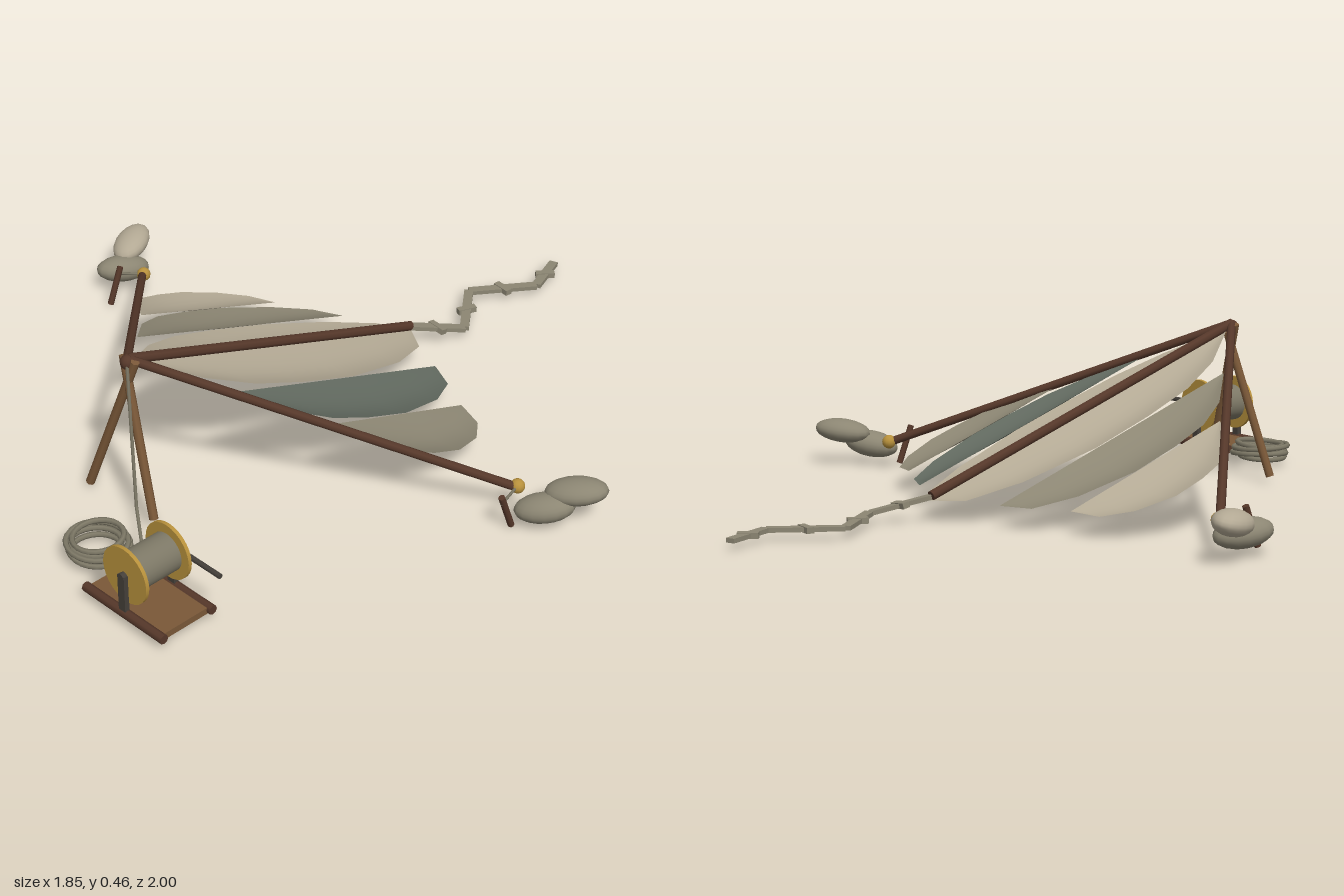
import * as THREE from 'three';

const mat = (name, color, side = THREE.FrontSide) => {
  const m = new THREE.MeshStandardMaterial({ color, side });
  m.name = name;
  return m;
};
const V = (x, y, z) => new THREE.Vector3(x, y, z);

export function createModel() {
  const root = new THREE.Group();
  root.name = 'kiteGlider';
  const beige = mat('beigeCloth', 0xb3a994, THREE.DoubleSide);
  const taupe = mat('taupeCloth', 0x8c8673, THREE.DoubleSide);
  const slate = mat('slateCloth', 0x626a60, THREE.DoubleSide);
  const dark = mat('darkWood', 0x56382a);
  const wood = mat('wood', 0x7a5838);
  const gold = mat('brass', 0xb8913c);
  const rope = mat('rope', 0x7d7866);
  const iron = mat('iron', 0x45403a);

  const add = (name, geo, material, pos, parent = root) => {
    const m = new THREE.Mesh(geo, material);
    m.name = name;
    if (pos) m.position.copy(pos);
    parent.add(m);
    return m;
  };
  // round bar between two points
  const bar = (name, a, b, r, material, sides = 8) => {
    const d = b.clone().sub(a);
    const m = add(name, new THREE.CylinderGeometry(r, r, d.length(), sides), material, a.clone().lerp(b, 0.5));
    m.quaternion.setFromUnitVectors(V(0, 1, 0), d.normalize());
    return m;
  };

  // frame
  const cx = -0.01;
  const apex = V(cx, 0.445, 0.64);
  bar('spine', apex, V(cx, 0.07, -0.4), 0.014, dark);
  for (const s of [-1, 1]) bar('wingSpar', apex, V(cx + s * 0.72, 0.08, -0.03), 0.012, dark);
  bar('rightLeg', V(0.015, 0.445, 0.635), V(-0.135, 0.018, 0.68), 0.012, wood);
  bar('leftLeg', V(-0.03, 0.445, 0.635), V(0.115, 0.03, 0.68), 0.012, wood);
  add('apexLashing', new THREE.SphereGeometry(0.02, 10, 8), dark, V(cx, 0.435, 0.64));

  // sail half: straight inner edge, leaf-shaped outer edge, slightly sagging cloth
  const profile = [[0, 0.02], [0.05, 0.47], [0.19, 0.8], [0.4, 1], [0.58, 0.98], [0.73, 0.88], [0.86, 0.6], [1, 0.02]];
  const sail = (name, side, inner, width, zBack, zFront, material) => {
    const pos = [], idx = [], n = 6;
    profile.forEach(([t, w], i) => {
      for (let j = 0; j <= n; j++) {
        const s = j / n, x = inner + width * w * s;
        const z = zBack + (zFront - zBack) * t;
        const sag = 0.025 * Math.sin(Math.PI * t) * Math.sin(Math.PI * s);
        pos.push(cx + side * x, 0.438 - 0.365 * (0.64 - z) - 0.165 * x - sag, z);
        if (i && j) {
          const d = i * (n + 1) + j, c = d - 1, b = d - n - 1, a = b - 1;
          if (side > 0) idx.push(a, c, b, b, c, d);
          else idx.push(a, b, c, b, d, c);
        }
      }
    });
    const g = new THREE.BufferGeometry();
    g.setAttribute('position', new THREE.Float32BufferAttribute(pos, 3));
    g.setIndex(idx);
    g.computeVertexNormals();
    add(name, g, material);
  };
  for (const s of [-1, 1]) {
    sail('centreSail', s, 0, 0.178, -0.4, 0.62, beige);
    sail('middleSail', s, 0.18, 0.18, -0.31, 0.45, s < 0 ? taupe : slate);
    sail('outerSail', s, 0.362, 0.178, -0.22, 0.28, s < 0 ? beige : taupe);
  }

  // zigzag tail with knots
  const tail = [V(cx, 0.068, -0.4), V(0.065, 0.03, -0.545), V(-0.06, 0.03, -0.7), V(0.055, 0.028, -0.865), V(0.005, 0.025, -1)];
  for (let i = 1; i < tail.length; i++) {
    const a = tail[i - 1], b = tail[i];
    const strip = add('tailStrip', new THREE.BoxGeometry(0.026, 0.012, a.distanceTo(b)), taupe, a.clone().lerp(b, 0.5));
    strip.lookAt(b);
    const knot = add('tailKnot', new THREE.BoxGeometry(0.055, 0.016, 0.02), taupe, a.clone().lerp(b, 0.5));
    knot.lookAt(b);
    knot.rotateY(0.5);
  }

  // wing tips: ball, stake, tether and two sandbags
  const bag = (name, material, c, dir, r) => {
    const m = add(name, new THREE.SphereGeometry(1, 16, 12), material, c);
    m.scale.set(...r);
    m.quaternion.setFromUnitVectors(V(1, 0, 0), dir.normalize());
  };
  for (const s of [-1, 1]) {
    const tip = V(cx + s * 0.725, 0.078, -0.04);
    add('tipBall', new THREE.SphereGeometry(0.02, 12, 8), gold, tip);
    const top = V(cx + s * 0.76, 0.112, 0.04 + s * 0.022);
    bar('stake', V(cx + s * 0.76, 0.004, 0.04 - s * 0.02), top, 0.009, dark);
    bar('tether', tip, top.clone().setY(0.09), 0.004, rope, 6);
    const left = s > 0;
    bag('upperSandbag', left ? taupe : beige, V(left ? 0.855 : -0.865, 0.1, -0.108),
      left ? V(0.75, 0.1, -0.62) : V(-0.45, 0.1, -0.8), [0.083, 0.034, 0.05]);
    bag('lowerSandbag', taupe, V(left ? 0.81 : -0.825, 0.06, -0.038),
      left ? V(0.68, 0.15, -0.6) : V(-0.3, 0.1, 0.8), [0.08, 0.038, 0.048]);
  }

  // reel on its board
  const rx = 0.35, ry = 0.145, rz = 0.905;
  add('reelBoard', new THREE.BoxGeometry(0.27, 0.018, 0.155), wood, V(rx, 0.032, rz));
  const alongZ = (name, r, len, z, material) => {
    const m = add(name, new THREE.CylinderGeometry(r, r, len, 28), material, V(rx, ry, z));
    m.rotation.x = Math.PI / 2;
  };
  alongZ('ropeDrum', 0.053, 0.13, rz, rope);
  alongZ('axle', 0.011, 0.175, rz, iron);
  for (const s of [-1, 1]) {
    const z = rz + s * 0.08;
    bar('boardRail', V(0.205, 0.034, z), V(0.495, 0.034, z), 0.013, dark);
    alongZ('reelDisc', 0.079, 0.01, rz + s * 0.069, gold);
    add('reelPost', new THREE.BoxGeometry(0.024, 0.11, 0.014), iron, V(rx, 0.095, z));
  }
  bar('crank', V(0.36, 0.155, 0.825), V(0.525, 0.155, 0.825), 0.007, iron);

  // coiled rope
  for (let i = 0; i < 5; i++) {
    const t = add('ropeCoil', new THREE.TorusGeometry(0.066 + 0.013 * (i % 2), 0.0075, 6, 24), rope,
      V(0.103 + 0.005 * Math.sin(i * 2.4), 0.027 + i * 0.009, 0.86 + 0.005 * Math.cos(i * 2.4)));
    t.rotation.set(Math.PI / 2 + 0.06 * Math.sin(i * 2), 0.06 * Math.cos(i * 3), 0);
  }

  // line from the apex to the reel
  const line = [V(0, 0.435, 0.65), V(0.06, 0.045, 0.69), V(0.17, 0.03, 0.77), V(0.25, 0.05, 0.825), V(0.31, 0.12, 0.875)];
  for (let i = 1; i < line.length; i++) bar('controlLine', line[i - 1], line[i], 0.005, rope, 6);

  return root;
}
